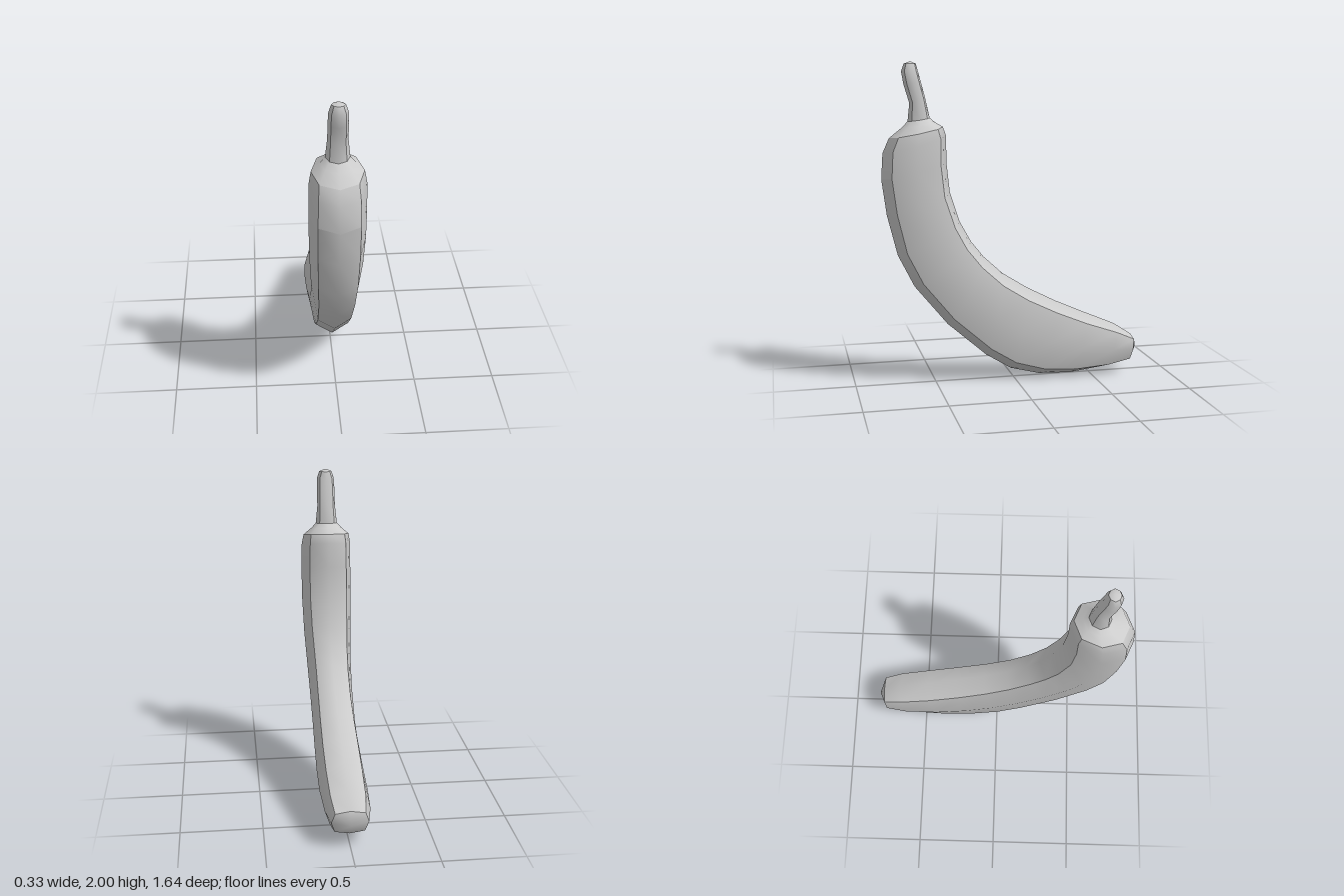
import * as THREE from 'three';
import { mergeGeometries, mergeVertices } from 'three/addons/utils/BufferGeometryUtils.js';

// Octagonal ring spanned between an outer (z, y) and an inner (z, y) point.
// mid = half width at the middle, corner = half width at the corners, inset = corner depth (0..1)
function ring([oz, oy, iz, iy, mid, corner, inset]) {
  const at = (x, t) => new THREE.Vector3(x, oy + (iy - oy) * t, oz + (iz - oz) * t);
  return [
    at(0, 0), at(corner, inset), at(mid, 0.5), at(corner, 1 - inset),
    at(0, 1), at(-corner, 1 - inset), at(-mid, 0.5), at(-corner, inset),
  ];
}

// Smooth surface over points from..to of each ring, rows running from top to bottom
function patch(rings, from, to) {
  const cols = to - from + 1;
  const pos = [];
  const index = [];
  for (const r of rings) for (let i = from; i <= to; i++) pos.push(...r[(i + 8) % 8].toArray());
  for (let r = 0; r < rings.length - 1; r++) {
    for (let i = 0; i < cols - 1; i++) {
      const a = r * cols + i, b = a + 1, c = a + cols, d = c + 1;
      const topClosed = rings[r][0].equals(rings[r][2]);
      const bottomClosed = rings[r + 1][0].equals(rings[r + 1][2]);
      if (!bottomClosed) index.push(a, c, d);
      if (!topClosed) index.push(a, bottomClosed ? c : d, b);
    }
  }
  let g = new THREE.BufferGeometry();
  g.setAttribute('position', new THREE.Float32BufferAttribute(pos, 3));
  g.setIndex(index);
  g = mergeVertices(g, 1e-5);
  g.computeVertexNormals();
  return g;
}

// Four smooth faces meeting at sharp corner edges
const fourFaces = (rings) => [-1, 1, 3, 5].map((s) => patch(rings, s, s + 2));
const point = (z, y) => Array.from({ length: 8 }, () => new THREE.Vector3(0, y, z));

export function createModel() {
  const group = new THREE.Group();
  const material = new THREE.MeshStandardMaterial({ color: 0xcccccc });
  const add = (name, geometries) => {
    const mesh = new THREE.Mesh(mergeGeometries(geometries), material);
    mesh.name = name;
    group.add(mesh);
  };

  // Curved body, from the shoulder down to the tip
  const body = [
    [0.77, 1.54, 0.44, 1.605, 0.15, 0.11, 0.14],
    [0.81, 1.45, 0.42, 1.55, 0.163, 0.117, 0.13],
    [0.82, 1.29, 0.42, 1.39, 0.165, 0.12, 0.13],
    [0.79, 1.07, 0.40, 1.20, 0.164, 0.12, 0.13],
    [0.727, 0.82, 0.34, 1.016, 0.157, 0.115, 0.12],
    [0.626, 0.62, 0.27, 0.89, 0.148, 0.108, 0.12],
    [0.42, 0.37, 0.19, 0.79, 0.141, 0.104, 0.12],
    [0.175, 0.157, 0.07, 0.68, 0.139, 0.104, 0.12],
    [0.016, 0.06, -0.09, 0.58, 0.142, 0.107, 0.12],
    [-0.17, 0.013, -0.276, 0.485, 0.147, 0.11, 0.12],
    [-0.38, 0.005, -0.47, 0.40, 0.148, 0.11, 0.13],
    [-0.60, 0.034, -0.67, 0.315, 0.138, 0.105, 0.13],
    [-0.753, 0.08, -0.785, 0.24, 0.112, 0.09, 0.1],
  ].map(ring);
  add('body', [
    patch(body.slice(0, 3), -1, 1),
    patch(body.slice(2), -1, 1),
    ...[1, 3, 5].map((s) => patch(body, s, s + 2)),
  ]);

  // Blunt tip at the lower end
  add('tip', [patch([body[12], point(-0.82, 0.16)], 0, 8)]);

  // Sloping neck between stem and body
  const stemBase = [0.655, 1.64, 0.52, 1.66, 0.07, 0.048, 0.15];
  const neck = [
    ring(stemBase),
    ring([0.695, 1.6, 0.49, 1.635, 0.1, 0.073, 0.15]),
    body[0],
  ];
  add('neck', [patch(neck, 0, 8)]);

  // Slender bent stem with a rounded end
  const stem = [
    [0.674, 1.985, 0.60, 1.985, 0.04, 0.026, 0.15],
    [0.69, 1.94, 0.588, 1.94, 0.055, 0.04, 0.15],
    [0.676, 1.86, 0.572, 1.88, 0.058, 0.042, 0.15],
    [0.643, 1.75, 0.546, 1.78, 0.058, 0.042, 0.15],
    stemBase,
  ].map(ring);
  add('stem', fourFaces(stem));
  add('stemEnd', [patch([point(0.635, 2), stem[0]], 0, 8)]);

  return group;
}
